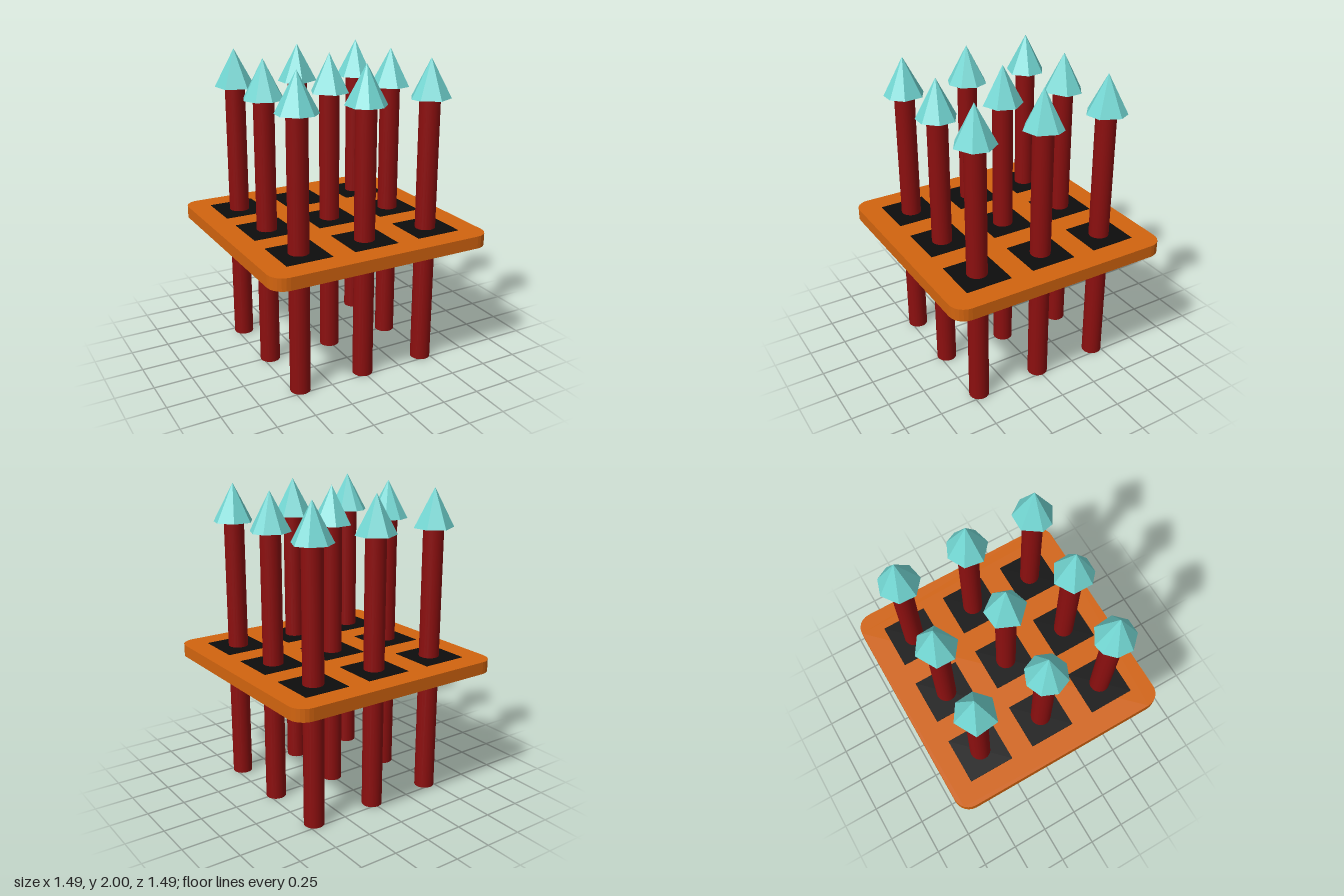
import * as THREE from 'three';

const mat = (color, extra = {}) => new THREE.MeshStandardMaterial({ color, ...extra });

function addMesh(parent, name, geometry, material, x = 0, y = 0, z = 0) {
  const mesh = new THREE.Mesh(geometry, material);
  mesh.name = name;
  mesh.position.set(x, y, z);
  parent.add(mesh);
  return mesh;
}

// Square slab with rounded corners, lying flat
function plateGeometry(half, r, height) {
  const s = new THREE.Shape();
  const c = half - r;
  for (let i = 0; i < 4; i++) {
    const a = i * Math.PI / 2;
    const cx = c * Math.SQRT2 * Math.cos(a + Math.PI / 4);
    const cy = c * Math.SQRT2 * Math.sin(a + Math.PI / 4);
    s.absarc(cx, cy, r, a, a + Math.PI / 2, false);
  }
  s.closePath();
  const g = new THREE.ExtrudeGeometry(s, { depth: height, bevelEnabled: false, curveSegments: 3 });
  return g.rotateX(-Math.PI / 2);
}

// Faceted cone whose rim corners sit at the given clockwise angles
function tipGeometry(angles, r, h) {
  const rim = angles.map((d) => {
    const a = THREE.MathUtils.degToRad(d);
    return [r * Math.sin(a), 0, -r * Math.cos(a)];
  });
  const p = [];
  rim.forEach((a, i) => {
    const b = rim[(i + 1) % rim.length];
    p.push(0, h, 0, ...b, ...a);
    p.push(0, 0, 0, ...a, ...b);
  });
  const g = new THREE.BufferGeometry();
  g.setAttribute('position', new THREE.Float32BufferAttribute(p, 3));
  g.computeVertexNormals();
  return g;
}

// Rim corners of each tip, back row to front row, left to right on x
const TIP_ANGLES = [
  [7, 60, 111, 164, 230, 297],
  [5, 62, 113, 190, 244, 297],
  [43, 83, 145, 193, 247, 297, 353],
  [0, 45, 90, 135, 180, 225, 270, 315],
  [23, 83, 136, 189, 260, 327],
  [0, 49, 83, 140, 190, 251, 306],
  [5, 56, 113, 157, 200, 251, 297, 335],
  [0, 62, 110, 159, 203, 241, 299],
  [28, 82, 125, 183, 241, 274, 335],
];

export function createModel() {
  const model = new THREE.Group();
  model.name = 'spikeTrap';

  const orange = mat(0xd2640f);
  const black = mat(0x0d0d0d);
  const red = mat(0x8c0f0f);
  const teal = mat(0x72d6d2, { flatShading: true });

  const spacing = 0.45;
  const plateBottom = 0.84;
  const plateHeight = 0.08;
  const tipBase = 1.755;

  // Base plate
  addMesh(model, 'plate', plateGeometry(0.745, 0.1, plateHeight), orange, 0, plateBottom, 0);

  // Nine spikes, each rising through a dark square
  const panel = new THREE.BoxGeometry(0.3, 0.006, 0.3);
  const shaft = new THREE.CylinderGeometry(0.065, 0.065, tipBase, 20);
  TIP_ANGLES.forEach((angles, i) => {
    const spike = new THREE.Group();
    spike.name = 'spike';
    spike.position.set((i % 3 - 1) * spacing, 0, (Math.floor(i / 3) - 1) * spacing);
    addMesh(spike, 'holePanel', panel, black, 0, plateBottom + plateHeight, 0);
    addMesh(spike, 'shaft', shaft, red, 0, tipBase / 2, 0);
    addMesh(spike, 'tip', tipGeometry(angles, 0.13, 2 - tipBase), teal, 0, tipBase, 0);
    model.add(spike);
  });

  return model;
}
